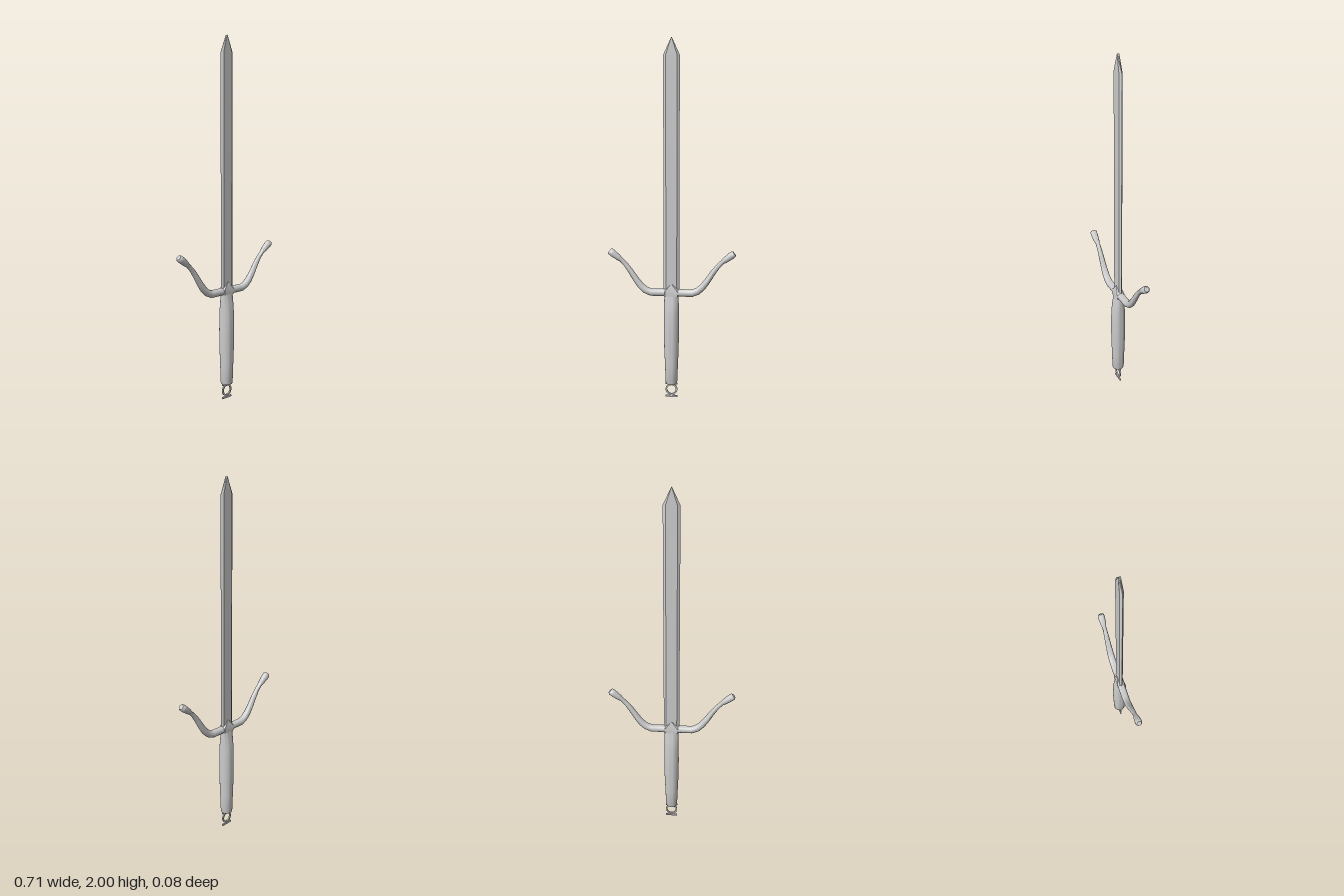
import * as THREE from 'three';
import { toCreasedNormals } from 'three/addons/utils/BufferGeometryUtils.js';

const material = new THREE.MeshStandardMaterial({ color: 0xcccccc });

// Skins closed rings of Vector3 (counter-clockwise seen from the end) and caps both ends.
function loft(rings, crease) {
  const n = rings[0].length, pos = [], index = [];
  const centre = r => r.reduce((s, p) => s.add(p), new THREE.Vector3()).divideScalar(n);
  [...rings, [centre(rings[0])], [centre(rings.at(-1))]].flat().forEach(p => pos.push(p.x, p.y, p.z));
  const last = (rings.length - 1) * n, c0 = rings.length * n;
  for (let j = 0; j < n; j++) {
    const k = (j + 1) % n;
    for (let i = 0; i < last; i += n) index.push(i + j, i + k, i + n + j, i + k, i + n + k, i + n + j);
    index.push(c0, k, j, c0 + 1, last + j, last + k);
  }
  const g = new THREE.BufferGeometry();
  g.setAttribute('position', new THREE.Float32BufferAttribute(pos, 3));
  g.setIndex(index);
  return toCreasedNormals(g, crease);
}

// Horizontal hexagon: half width w, half width of the flat f, half thickness d.
const hexagon = (y, w, f, d) =>
  [[w, 0], [f, -d], [-f, -d], [-w, 0], [-f, d], [f, d]].map(([x, z]) => new THREE.Vector3(x, y, z));

const ellipse = (y, rx, rz, sides = 32) => Array.from({ length: sides }, (_, i) => {
  const a = i / sides * Math.PI * 2;
  return new THREE.Vector3(Math.cos(a) * rx, y, -Math.sin(a) * rz);
});

// Crossguard: one round bar of varying radius, bent in the front plane.
function guardGeometry() {
  const half = [ // x, y, radius
    [0.05, 0.62, 0.021], [0.115, 0.62, 0.021], [0.145, 0.632, 0.02], [0.172, 0.656, 0.019],
    [0.2, 0.694, 0.017], [0.23, 0.741, 0.015], [0.255, 0.775, 0.013], [0.28, 0.801, 0.012],
    [0.29, 0.809, 0.015], [0.3, 0.817, 0.017], [0.327, 0.838, 0.02], [0.34, 0.848, 0.019], [0.345, 0.852, 0.014],
  ];
  const path = [...half.map(([x, y, r]) => [-x, y, r]).reverse(), ...half];
  const sides = 14, z = new THREE.Vector3(0, 0, 1);
  const rings = path.map(([x, y, r], i) => {
    const a = path[Math.max(i - 1, 0)], b = path[Math.min(i + 1, path.length - 1)];
    const t = new THREE.Vector3(b[0] - a[0], b[1] - a[1], 0).normalize();
    const u = z.clone().cross(t);
    return Array.from({ length: sides }, (_, j) => {
      const q = j / sides * Math.PI * 2;
      return new THREE.Vector3(x, y, 0).addScaledVector(u, Math.cos(q) * r).addScaledVector(z, Math.sin(q) * r);
    });
  });
  return loft(rings, 0.9);
}

// Flat pommel ring
function ringGeometry() {
  const shape = new THREE.Shape().absarc(0, 0, 0.034, 0, Math.PI * 2);
  shape.holes.push(new THREE.Path().absarc(0, 0, 0.025, 0, Math.PI * 2, true));
  const g = new THREE.ExtrudeGeometry(shape, { depth: 0.008, bevelEnabled: false, curveSegments: 16 });
  return g.translate(0, 0.046, -0.004);
}

export function createModel() {
  const group = new THREE.Group();
  const add = (name, geometry) => {
    const mesh = new THREE.Mesh(geometry, material);
    mesh.name = name;
    group.add(mesh);
    return mesh;
  };

  add('blade', loft([
    hexagon(0.6, 0.044, 0.03, 0.01),
    hexagon(1.91, 0.044, 0.03, 0.01),
    hexagon(2, 0.0015, 0.001, 0.006),
  ], 0.3));

  // Collar with a pointed top over the foot of the blade
  add('collar', loft([
    hexagon(0.602, 0.053, 0.035, 0.022),
    hexagon(0.63, 0.053, 0.035, 0.022),
    hexagon(0.672, 0.002, 0.001, 0.012),
  ], 0.3));

  add('crossguard', guardGeometry());

  // Grip: round below, flattened front to back near the guard
  add('grip', loft([
    ellipse(0.085, 0.031, 0.031), ellipse(0.092, 0.033, 0.034), ellipse(0.2, 0.037, 0.037),
    ellipse(0.3, 0.041, 0.04), ellipse(0.4, 0.042, 0.041), ellipse(0.5, 0.041, 0.039),
    ellipse(0.55, 0.041, 0.032), ellipse(0.61, 0.04, 0.021),
  ], 0.6));

  add('pommelRing', ringGeometry());
  for (const [name, y] of [['upperRingBar', 0.082], ['lowerRingBar', 0.005]])
    add(name, new THREE.BoxGeometry(0.068, 0.01, 0.008)).position.y = y;

  return group;
}
